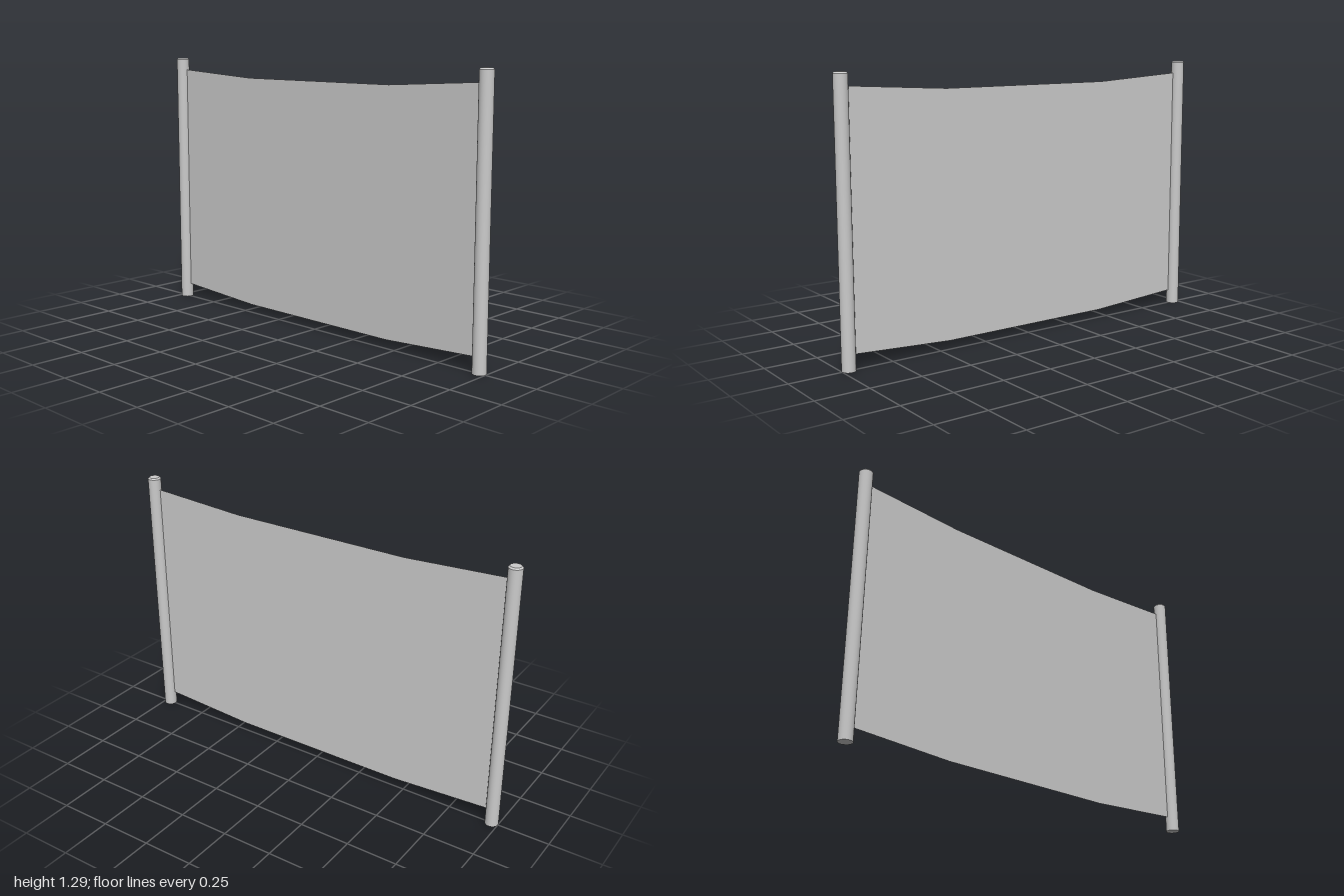
import * as THREE from 'three';

export function createModel() {
  const model = new THREE.Group();
  const material = new THREE.MeshStandardMaterial({ color: 0xcccccc });
  const H = 1.29, R = 0.032, postX = 0.968, bevel = 0.007;

  // Round posts with a small bevel at the top; repeated points keep the rims sharp
  const profile = [
    [0, 0], [R, 0], [R, 0], [R, H - bevel], [R, H - bevel],
    [R - bevel, H], [R - bevel, H], [0, H],
  ].map(([r, y]) => new THREE.Vector2(r, y));
  const postGeometry = new THREE.LatheGeometry(profile, 24);
  for (const side of [-1, 1]) {
    const post = new THREE.Mesh(postGeometry, material);
    post.name = side > 0 ? 'leftPost' : 'rightPost';
    post.position.x = side * postX;
    model.add(post);
  }

  // Thin cloth sheet between the posts, sagging in straight facets
  const sheetHeight = 1.16, sag = 0.03, kinkX = 0.45;
  const upper = [[-postX, sag], [-kinkX, 0], [kinkX, 0], [postX, sag]];
  const bottom = 0.041;
  const outline = [
    ...upper.map(([x, y]) => new THREE.Vector2(x, bottom + y)),
    ...upper.map(([x, y]) => new THREE.Vector2(x, bottom + sheetHeight + y)).reverse(),
  ];
  const clothMaterial = material.clone();
  clothMaterial.side = THREE.DoubleSide;
  const cloth = new THREE.Mesh(new THREE.ShapeGeometry(new THREE.Shape(outline)), clothMaterial);
  cloth.name = 'clothSheet';
  model.add(cloth);

  return model;
}
